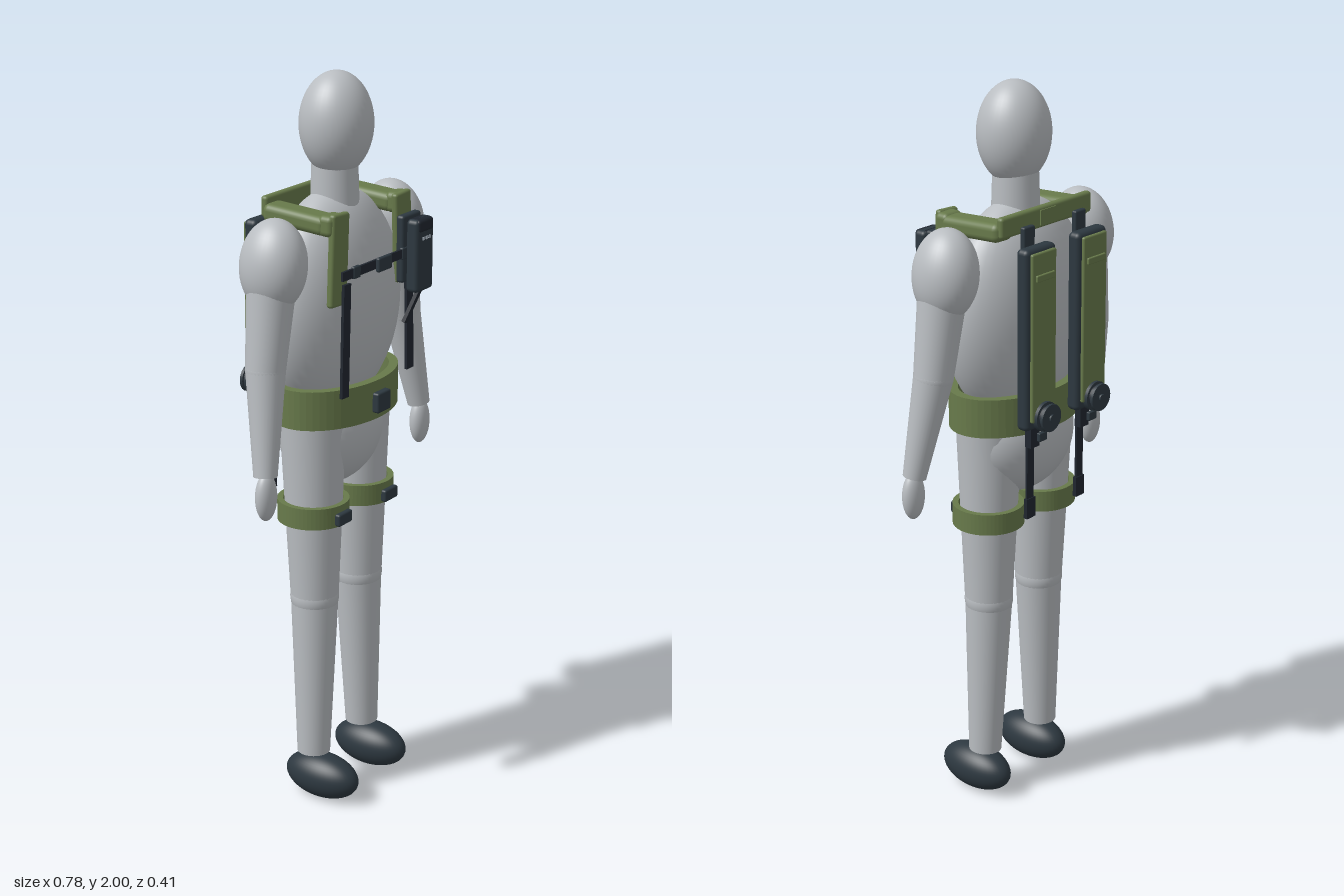
import * as THREE from 'three';
import { RoundedBoxGeometry } from 'three/addons/geometries/RoundedBoxGeometry.js';

const mat = (name, color) => {
  const m = new THREE.MeshStandardMaterial({ color });
  m.name = name;
  return m;
};

export function createModel() {
  const body = mat('mannequin grey', 0xb9bdc1);
  const olive = mat('olive fabric', 0x687a4b);
  const dark = mat('dark slate', 0x2d3840);
  const web = mat('webbing black', 0x20262f);
  const light = mat('pale detail', 0x9aa4ae);

  const root = new THREE.Group();
  const add = (name, geo, material, x, y, z, parent = root) => {
    const m = new THREE.Mesh(geo, material);
    m.name = name;
    m.position.set(x, y, z);
    parent.add(m);
    return m;
  };
  const ball = (name, material, p, r) => {
    const m = add(name, new THREE.SphereGeometry(1, 40, 28), material, ...p);
    m.scale.set(...r);
    return m;
  };
  const box = (name, material, p, s, r = 0) => add(name,
    r ? new RoundedBoxGeometry(...s, 3, r) : new THREE.BoxGeometry(...s), material, ...p);
  // Tapered limb between two points
  const limb = (name, a, b, ra, rb) => {
    const A = new THREE.Vector3(...a), B = new THREE.Vector3(...b);
    const d = A.clone().sub(B);
    const m = add(name, new THREE.CylinderGeometry(ra, rb, d.length(), 32), body,
      ...A.clone().add(B).multiplyScalar(0.5).toArray());
    m.quaternion.setFromUnitVectors(new THREE.Vector3(0, 1, 0), d.normalize());
  };
  // Hollow band around the body with rounded-rectangle section
  const band = (name, x, y, z, rx, rz, h, t) => {
    const shape = new THREE.Shape().absellipse(0, 0, rx, rz, 0, Math.PI * 2);
    shape.holes.push(new THREE.Path().absellipse(0, 0, rx - t, rz - t, 0, Math.PI * 2, true));
    const g = new THREE.ExtrudeGeometry(shape, { depth: h, bevelEnabled: false, curveSegments: 28 });
    g.rotateX(-Math.PI / 2).translate(0, -h / 2, 0);
    add(name, g, olive, x, y, z);
  };

  // Head, neck and trunk
  ball('head', body, [0, 1.865, 0.015], [0.1, 0.135, 0.095]);
  add('neck', new THREE.CylinderGeometry(0.06, 0.064, 0.12, 32), body, 0, 1.71, 0.01);
  ball('torso', body, [0, 1.4, 0.005], [0.245, 0.3, 0.135]);
  ball('pelvis', body, [0, 1.05, 0], [0.18, 0.157, 0.118]);

  for (const s of [-1, 1]) {
    // Arm
    const shoulder = ball('shoulder', body, [s * 0.266, 1.55, 0.01], [0.08, 0.12, 0.09]);
    shoulder.rotation.z = s * 0.13;
    limb('upperArm', [s * 0.27, 1.55, 0.01], [s * 0.31, 1.29, 0.015], 0.066, 0.052);
    ball('elbow', body, [s * 0.31, 1.29, 0.015], [0.052, 0.052, 0.052]);
    limb('forearm', [s * 0.31, 1.29, 0.015], [s * 0.355, 1.02, 0.045], 0.052, 0.031);
    ball('hand', body, [s * 0.357, 0.967, 0.048], [0.034, 0.065, 0.025]);

    // Leg
    limb('thigh', [s * 0.103, 1.14, 0.012], [s * 0.103, 0.6, 0.017], 0.09, 0.065);
    ball('knee', body, [s * 0.103, 0.595, 0.017], [0.066, 0.066, 0.066]);
    limb('shin', [s * 0.103, 0.59, 0.017], [s * 0.116, 0.135, 0.022], 0.064, 0.045);
    ball('shoe', dark, [s * 0.117, 0.068, 0.052], [0.06, 0.063, 0.114]);

    // Thigh strap and buckle
    band('thighStrap', s * 0.105, 0.85, 0.015, 0.096, 0.096, 0.058, 0.016);
    box('thighBuckle', dark, [s * 0.108, 0.843, 0.115], [0.06, 0.034, 0.018], 0.006);

    // Shoulder pad, front pad and lower webbing
    const pad = box('shoulderPad', olive, [s * 0.15, 1.648, 0.008], [0.07, 0.05, 0.195], 0.018);
    pad.rotation.x = 0.06;
    const front = box('frontPad', olive, [s * 0.145, 1.555, 0.122], [0.07, 0.24, 0.02], 0.008);
    front.rotation.z = s * 0.05;
    box('padJoint', olive, [s * 0.15, 1.645, 0.105], [0.066, 0.055, 0.045], 0.015);
    const strap = box('lowerStrap', web, [s * 0.146, 1.345, 0.146], [0.03, 0.3, 0.008]);
    strap.rotation.z = s * 0.03;

    // Back canister with fabric face
    const x = s * 0.1;
    box('canister', dark, [x, 1.378, -0.147], [0.116, 0.485, 0.04], 0.014);
    box('canisterPanel', olive, [x, 1.385, -0.17], [0.092, 0.45, 0.012], 0.005);
    box('panelFold', olive, [x, 1.545, -0.178], [0.07, 0.018, 0.008], 0.003);
    box('canisterHanger', dark, [x, 1.63, -0.118], [0.042, 0.07, 0.016], 0.005);
    box('lowerHanger', web, [x, 1.11, -0.135], [0.034, 0.07, 0.02]);

    // Release knob made of stacked discs
    [[0.04, -0.178, 0.014], [0.032, -0.188, 0.008], [0.037, -0.197, 0.008], [0.01, -0.203, 0.006]]
      .forEach(([r, z, h]) => {
        const g = new THREE.CylinderGeometry(r, r, h, 24).rotateX(Math.PI / 2);
        add('releaseKnob', g, r === 0.032 ? web : dark, x, 1.17, z);
      });
    box('knobTab', dark, [x, 1.112, -0.168], [0.03, 0.024, 0.012], 0.003);

    // Hanging tail strap
    box('tailStrap', web, [x, 0.985, -0.126], [0.026, 0.23, 0.006]);
    box('tailEnd', web, [x, 0.9, -0.126], [0.034, 0.055, 0.011]);
  }

  // Yoke behind the neck
  box('backYoke', olive, [0, 1.667, -0.088], [0.35, 0.056, 0.022], 0.009);
  box('yokePatch', olive, [0, 1.667, -0.099], [0.06, 0.04, 0.006]);

  // Waist belt and buckle
  band('waistBelt', 0, 1.153, 0.013, 0.21, 0.14, 0.105, 0.025);
  box('beltBuckle', dark, [0, 1.148, 0.16], [0.06, 0.055, 0.022], 0.006);

  // Chest strap
  box('chestStrap', web, [0.005, 1.521, 0.152], [0.35, 0.024, 0.007]);
  box('chestBuckle', dark, [0, 1.521, 0.164], [0.06, 0.038, 0.013], 0.005);
  for (const s of [-1, 1]) box('strapSlider', dark, [s * 0.11, 1.521, 0.153], [0.03, 0.032, 0.012], 0.004);

  // Control unit on the left strap
  box('controlMount', dark, [0.143, 1.53, 0.144], [0.085, 0.18, 0.024], 0.008);
  box('controlUnit', dark, [0.144, 1.515, 0.179], [0.08, 0.195, 0.038], 0.012);
  box('controlLid', web, [0.144, 1.595, 0.18], [0.07, 0.035, 0.042], 0.01);
  for (let i = -1; i <= 1; i++) box('indicator', light, [0.144 + i * 0.014, 1.562, 0.199], [0.008, 0.008, 0.004]);

  // Pull lever under the control unit
  const lever = box('pullLever', web, [0.135, 1.38, 0.165], [0.016, 0.11, 0.01]);
  lever.rotation.set(0.3, 0, -0.3);
  return root;
}
